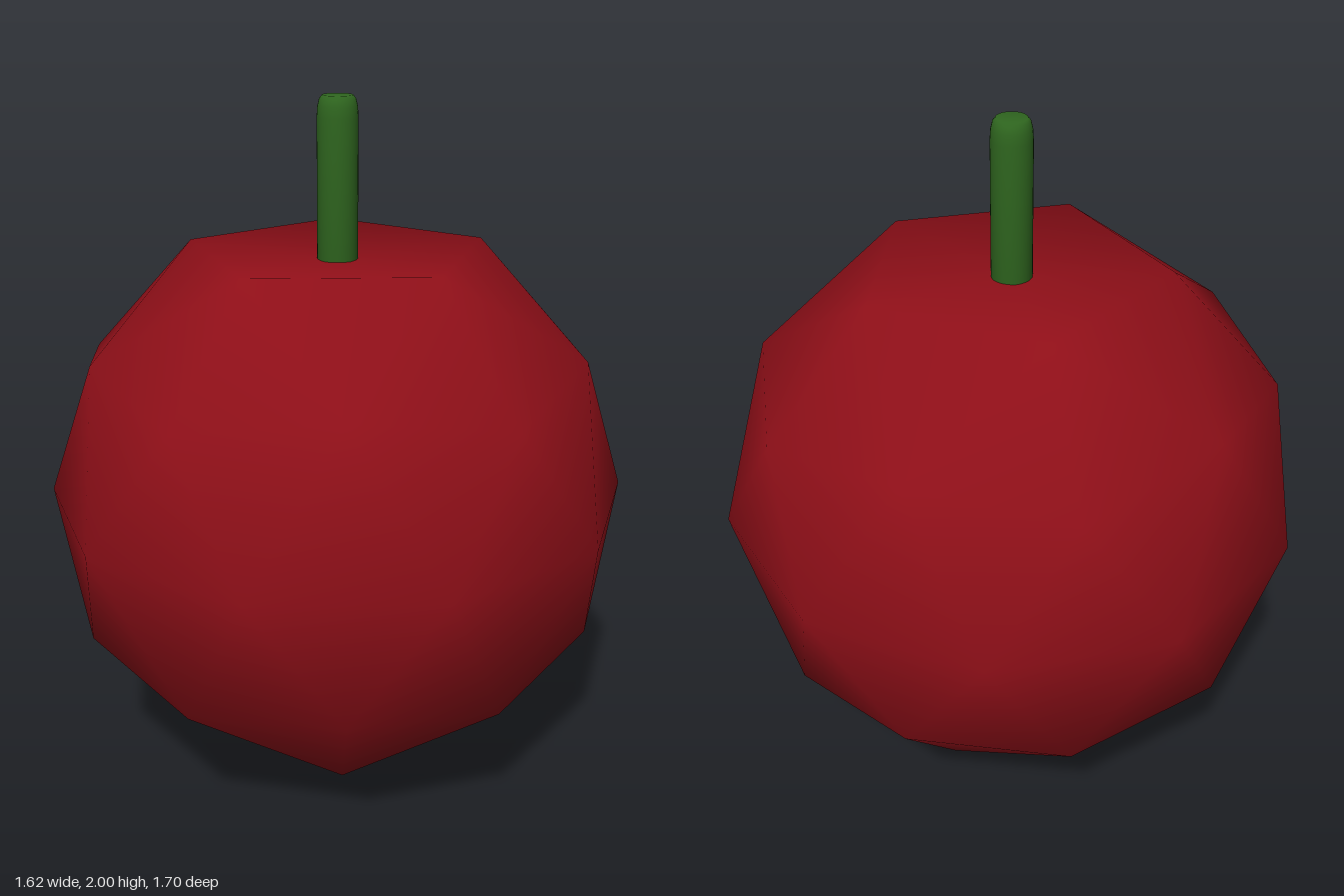
import * as THREE from 'three';

const R = 0.85; // body radius, also the height of its centre

// Faceted ball with smooth shading, one vertex pointing up and pressed in
function makeBody() {
  const geo = new THREE.IcosahedronGeometry(R, 1);
  geo.rotateZ(-Math.atan(2 / (1 + Math.sqrt(5))));
  const pos = geo.attributes.position;
  for (let i = 0; i < pos.count; i++) {
    if (pos.getY(i) > R * 0.95) pos.setXYZ(i, 0, 0.69, 0); // dent under the stem
  }
  geo.translate(0, R, 0);
  const body = new THREE.Mesh(geo, new THREE.MeshStandardMaterial({ color: 0x8f0f18 }));
  body.name = 'fruitBody';
  return body;
}

// Round stem with softened top edge
function makeStem() {
  const profile = [
    [0, 1.5], [0.058, 1.5], [0.058, 1.94], [0.056, 1.97], [0.051, 1.99], [0.043, 2], [0, 2],
  ].map(([r, y]) => new THREE.Vector2(r, y));
  const geo = new THREE.LatheGeometry(profile, 32);
  const stem = new THREE.Mesh(geo, new THREE.MeshStandardMaterial({ color: 0x2f661f }));
  stem.name = 'stem';
  return stem;
}

export function createModel() {
  const group = new THREE.Group();
  group.name = 'fruit';
  group.add(makeBody(), makeStem());
  return group;
}
